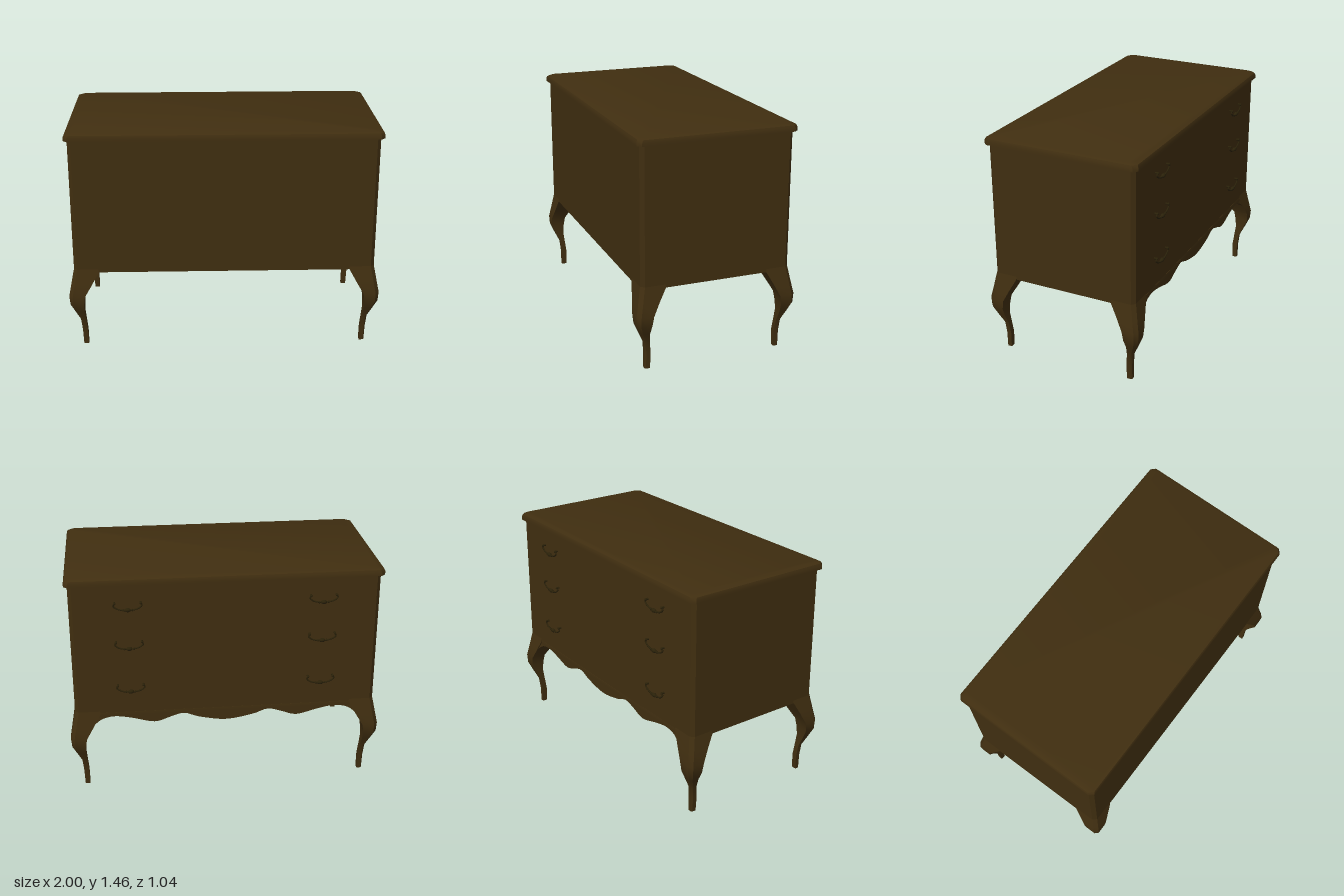
import * as THREE from 'three';
import { toCreasedNormals } from 'three/addons/utils/BufferGeometryUtils.js';

// Skin closed rings (bottom to top) and cap both ends
function loft(rings, crease = 0.45) {
  const n = rings[0].length, index = [];
  for (let r = 0; r < rings.length - 1; r++) {
    for (let i = 0; i < n; i++) {
      const j = (i + 1) % n, a = r * n, b = a + n;
      index.push(a + i, b + i, b + j, a + i, b + j, a + j);
    }
  }
  const t = (rings.length - 1) * n;
  for (let i = 1; i < n - 1; i++) index.push(0, i, i + 1, t, t + i + 1, t + i);
  const g = new THREE.BufferGeometry();
  g.setAttribute('position', new THREE.Float32BufferAttribute(rings.flat(2), 3));
  g.setIndex(index);
  return toCreasedNormals(g, crease);
}

// Rectangle ring with clipped corners
const rect = (x, z, c, y) => [
  [c - x, y, -z], [x - c, y, -z], [x, y, c - z], [x, y, z - c],
  [x - c, y, z], [c - x, y, z], [-x, y, z - c], [-x, y, c - z],
];

// Cabriole profile: y, inner x, outer x, inner z, outer z, corner clip
const LEG = [
  [0, 0.895, 0.927, 0.417, 0.449, 0.007],
  [0.1, 0.897, 0.931, 0.413, 0.449, 0.008],
  [0.18, 0.904, 0.939, 0.422, 0.457, 0.01],
  [0.25, 0.909, 0.968, 0.43, 0.489, 0.014],
  [0.31, 0.907, 0.995, 0.425, 0.514, 0.02],
  [0.37, 0.898, 1.0, 0.416, 0.518, 0.023],
  [0.45, 0.85, 0.984, 0.375, 0.502, 0.023],
  [0.53, 0.805, 0.968, 0.33, 0.487, 0.023],
  [0.55, 0.805, 0.964, 0.33, 0.483, 0.023],
];

function legGeometry(sx, sz) {
  return loft(LEG.map(([y, ix, ox, iz, oz, c]) => {
    const ring = [[ix, iz], [ox, iz], [ox, oz - c], [ox - c, oz], [ix, oz]]
      .map(([x, z]) => [x * sx, y, z * sz]);
    return sx * sz < 0 ? ring.reverse() : ring;
  }));
}

// Outer z of the leg at a height
function legOuterZ(y) {
  for (let i = 1; i < LEG.length; i++) {
    const a = LEG[i - 1], b = LEG[i];
    if (y <= b[0]) return THREE.MathUtils.lerp(a[4], b[4], (y - a[0]) / (b[0] - a[0]));
  }
  return 0.483;
}

// Scalloped apron that flares out to meet the legs
function apronGeometry() {
  const half = [
    [0.908, 0.29], [0.9, 0.36], [0.87, 0.43], [0.82, 0.48], [0.77, 0.503], [0.7, 0.511],
    [0.6, 0.493], [0.46, 0.459], [0.36, 0.488], [0.27, 0.51], [0.17, 0.477],
  ];
  const mirrored = half.map(([x, y]) => [-x, y]).reverse();
  const edge = new THREE.SplineCurve([...half, [0, 0.45], ...mirrored]
    .map(([x, y]) => new THREE.Vector2(x, y))).getPoints(88);
  const shape = new THREE.Shape([
    new THREE.Vector2(-0.93, 0.29), new THREE.Vector2(-0.93, 0.54),
    new THREE.Vector2(0.93, 0.54), new THREE.Vector2(0.93, 0.29), ...edge,
  ]);
  const g = new THREE.ExtrudeGeometry(shape, { depth: 0.03, bevelEnabled: false });
  const p = g.attributes.position;
  for (let i = 0; i < p.count; i++) {
    const flare = THREE.MathUtils.clamp((Math.abs(p.getX(i)) - 0.78) / 0.1, 0, 1);
    const front = THREE.MathUtils.lerp(0.483, legOuterZ(p.getY(i)) - 0.001, flare);
    p.setZ(i, p.getZ(i) - front);
  }
  return toCreasedNormals(g, 0.5);
}

// Drop handle hanging from two posts, facing -z
function makeHandle(metal) {
  const handle = new THREE.Group();
  handle.name = 'drawerHandle';
  const add = (name, geo, x, y, z) => {
    const m = new THREE.Mesh(geo, metal);
    m.name = name;
    m.position.set(x, y, z);
    handle.add(m);
  };
  for (const s of [-1, 1]) {
    add('handlePost', new THREE.CylinderGeometry(0.005, 0.007, 0.022, 10).rotateX(-Math.PI / 2), s * 0.08, 0, -0.491);
    add('handleKnob', new THREE.SphereGeometry(0.008, 10, 8), s * 0.08, 0, -0.5);
    add('bailBead', new THREE.SphereGeometry(0.008, 10, 8).scale(0.6, 1, 1), s * 0.028, -0.044, -0.499);
  }
  const bail = new THREE.CatmullRomCurve3([
    [-0.08, 0], [-0.088, -0.014], [-0.065, -0.034], [-0.03, -0.044], [0, -0.046],
    [0.03, -0.044], [0.065, -0.034], [0.088, -0.014], [0.08, 0],
  ].map(([x, y]) => new THREE.Vector3(x, y, -0.499)));
  add('handleBail', new THREE.TubeGeometry(bail, 32, 0.005, 8), 0, 0, 0);
  add('bailGrip', new THREE.SphereGeometry(0.013, 12, 8).scale(1.5, 1, 1), 0, -0.044, -0.499);
  return handle;
}

export function createModel() {
  const group = new THREE.Group();
  group.name = 'chestOfDrawers';
  const wood = new THREE.MeshStandardMaterial({ color: 0x402e10 });
  wood.name = 'darkWood';
  const metal = new THREE.MeshStandardMaterial({ color: 0x2a2109 });
  metal.name = 'darkMetal';
  const add = (name, geo) => {
    const m = new THREE.Mesh(geo, wood);
    m.name = name;
    group.add(m);
  };

  add('body', loft([rect(0.964, 0.483, 0.023, 0.53), rect(0.964, 0.483, 0.023, 1.415)]));

  // Top board with an eased upper edge
  add('topBoard', loft([
    rect(0.985, 0.505, 0.025, 1.408), rect(0.985, 0.505, 0.025, 1.43),
    rect(0.979, 0.499, 0.027, 1.445), rect(0.96, 0.48, 0.03, 1.455),
  ], 0.6));

  for (const sx of [1, -1]) for (const sz of [1, -1]) {
    add((sz > 0 ? 'front' : 'back') + (sx > 0 ? 'Left' : 'Right') + 'Leg', legGeometry(sx, sz));
  }
  add('apron', apronGeometry());

  // Three rows of paired drawer handles
  for (const y of [1.293, 1.033, 0.735]) for (const x of [-0.605, 0.605]) {
    const h = makeHandle(metal);
    h.position.set(x, y, 0);
    group.add(h);
  }
  return group;
}
